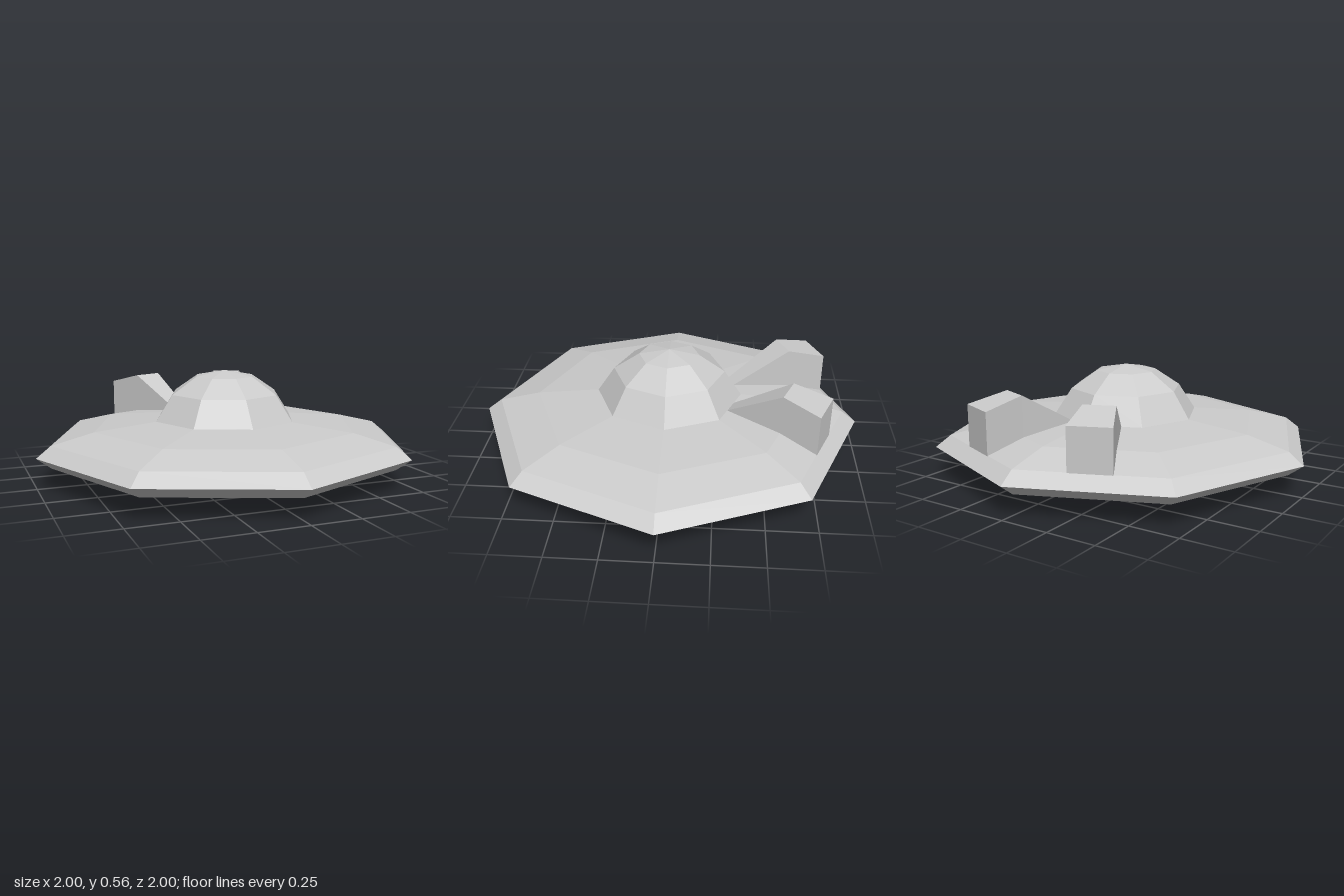
import * as THREE from 'three';

const SIDES = 8;
const material = new THREE.MeshStandardMaterial({ color: 0xcccccc, flatShading: true });

function facetedMesh(name, geometry) {
  const flat = geometry.toNonIndexed();
  flat.computeVertexNormals();
  const mesh = new THREE.Mesh(flat, material);
  mesh.name = name;
  return mesh;
}

// Eight-sided solid of revolution from [radius, height] pairs, bottom to top
function turned(name, profile) {
  const points = profile.map(([r, y]) => new THREE.Vector2(r, y));
  return facetedMesh(name, new THREE.LatheGeometry(points, SIDES));
}

// Tapered engine pod lofted through [distance, half width, bottom, top] sections
function pod(name, angle) {
  const sections = [
    [0.355, 0.042, 0.285, 0.302],
    [0.656, 0.0785, 0.255, 0.475],
    [0.856, 0.1045, 0.21, 0.425],
  ];
  const positions = sections.flatMap(([d, w, b, t]) => [-w, b, d, w, b, d, w, t, d, -w, t, d]);
  const index = [0, 2, 1, 0, 3, 2]; // inner end
  for (let s = 0; s < sections.length - 1; s++) {
    for (let i = 0; i < 4; i++) {
      const a = s * 4 + i;
      const b = s * 4 + (i + 1) % 4;
      index.push(a, b, b + 4, a, b + 4, a + 4);
    }
  }
  const e = (sections.length - 1) * 4;
  index.push(e, e + 1, e + 2, e, e + 2, e + 3); // outer end
  const geometry = new THREE.BufferGeometry();
  geometry.setAttribute('position', new THREE.Float32BufferAttribute(positions, 3));
  geometry.setIndex(index);
  const mesh = facetedMesh(name, geometry);
  mesh.rotation.y = angle;
  return mesh;
}

export function createModel() {
  const model = new THREE.Group();
  model.name = 'flyingSaucer';

  // Flattened disc hull
  model.add(turned('hull', [
    [0, 0], [0.383, 0.016], [0.707, 0.049], [0.924, 0.099], [1, 0.156],
    [0.924, 0.215], [0.707, 0.268], [0.383, 0.3], [0, 0.31],
  ]));

  // Cockpit dome
  model.add(turned('dome', [[0.382, 0.3], [0.292, 0.435], [0.158, 0.525], [0, 0.555]]));

  // Pair of engine pods fanning out at the rear
  const angle = Math.PI * 7 / 8;
  model.add(pod('leftPod', angle), pod('rightPod', -angle));

  return model;
}
